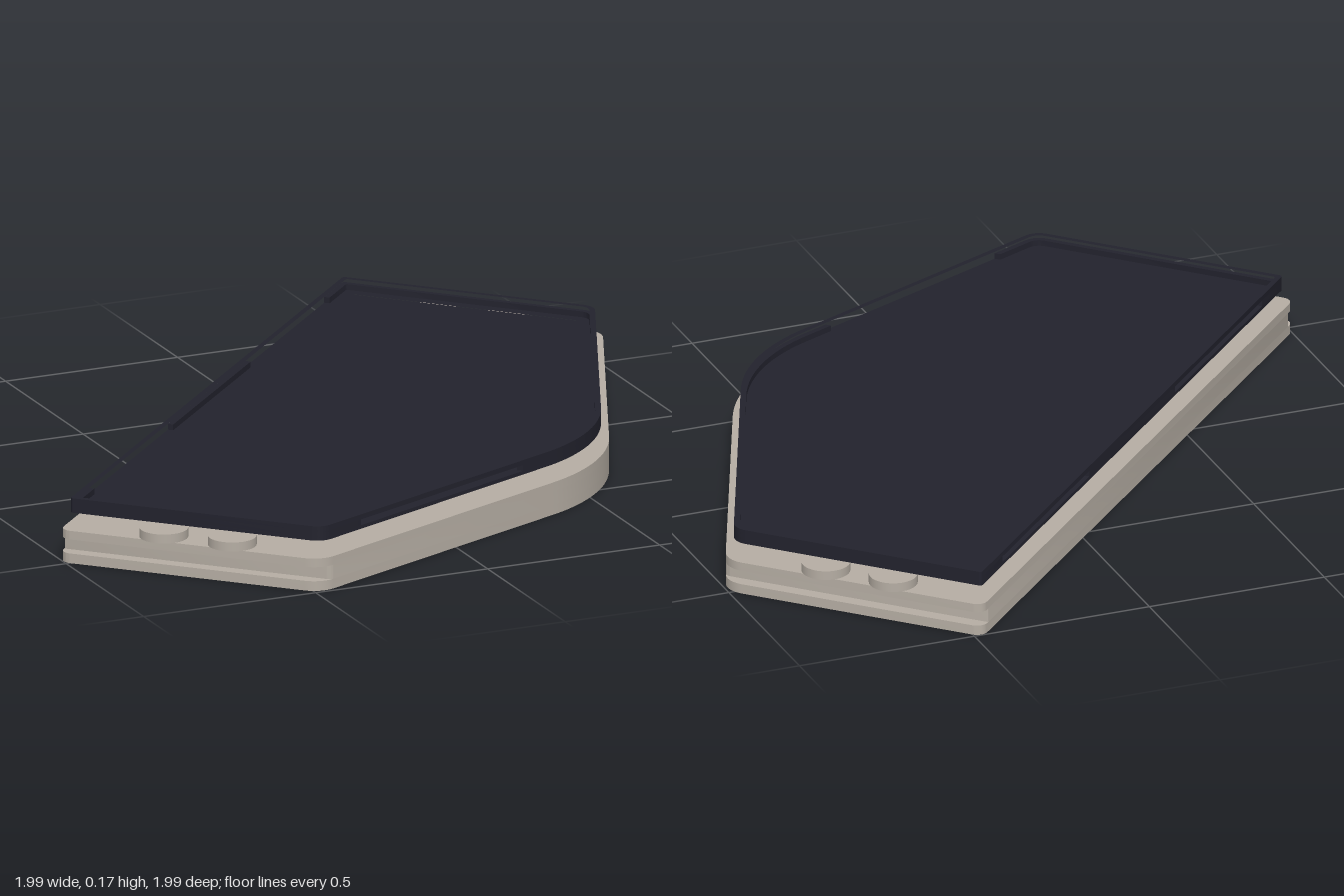
import * as THREE from 'three';
import { toCreasedNormals } from 'three/addons/utils/BufferGeometryUtils.js';

const SLOPE = 0.4; // fall of the two front edges away from the middle

// Replaces each corner [x, y, radius] of a polygon by an arc.
function fillet(corners) {
  const points = [];
  corners.forEach(([x, y, r], i) => {
    const p = new THREE.Vector2(x, y);
    const prev = corners[(i + corners.length - 1) % corners.length];
    const next = corners[(i + 1) % corners.length];
    const a = new THREE.Vector2(prev[0], prev[1]).sub(p).normalize();
    const b = new THREE.Vector2(next[0], next[1]).sub(p).normalize();
    const half = Math.acos(a.dot(b)) / 2;
    const t = r / Math.tan(half);
    const c = a.clone().add(b).normalize().multiplyScalar(r / Math.sin(half)).add(p);
    const from = a.multiplyScalar(t).add(p).sub(c);
    const to = b.multiplyScalar(t).add(p).sub(c);
    const turn = Math.atan2(from.cross(to), from.dot(to));
    const steps = r > 0.2 ? 20 : 8;
    for (let k = 0; k <= steps; k++) {
      points.push(from.clone().rotateAround(new THREE.Vector2(), (turn * k) / steps).add(c));
    }
  });
  return points;
}

// Outline with a straight back, two straight ends and a blunt pointed front.
function outline({ back, end, apex, rBack, rFront, rApex }) {
  const shoulder = apex - SLOPE * end;
  return fillet([
    [end, back, rBack], [end, shoulder, rFront], [0, apex, rApex],
    [-end, shoulder, rFront], [-end, back, rBack],
  ]);
}

// Shrinks an outline evenly on all sides.
function inset(o, d) {
  return {
    back: o.back + d, end: o.end - d, apex: o.apex - d * Math.hypot(1, SLOPE),
    rBack: Math.max(o.rBack - d, 0.005), rFront: Math.max(o.rFront - d, 0.005), rApex: o.rApex - d,
  };
}

const flip = (points) => points.map((p) => new THREE.Vector2(p.x, -p.y));

// Upright slab from y0 to y1.
function slab(name, points, y0, y1, material, hole) {
  const shape = new THREE.Shape(flip(points));
  if (hole) shape.holes.push(new THREE.Path(flip(hole)));
  const extruded = new THREE.ExtrudeGeometry(shape, { depth: y1 - y0, bevelEnabled: false });
  extruded.rotateX(-Math.PI / 2).translate(0, y0, 0);
  const mesh = new THREE.Mesh(toCreasedNormals(extruded, 0.5), material);
  mesh.name = name;
  return mesh;
}

export function createModel() {
  const stone = new THREE.MeshStandardMaterial({ color: 0xb5ada3 });
  stone.name = 'warm grey';
  const dark = new THREE.MeshStandardMaterial({ color: 0x22222d });
  dark.name = 'dark navy';

  const model = new THREE.Group();
  model.name = 'trayOnBase';
  const body = new THREE.Group();
  body.name = 'body';
  body.rotation.y = Math.PI / 4;
  model.add(body);

  // Base: the middle layer is shorter, leaving a groove in both ends
  const baseSize = { back: -0.375, end: 1.053, apex: 0.788, rBack: 0.03, rFront: 0.07, rApex: 0.57 };
  const base = new THREE.Group();
  base.name = 'base';
  const full = outline(baseSize);
  const core = outline({ ...baseSize, end: baseSize.end - 0.035, rBack: 0.005, rFront: 0.02 });
  base.add(
    slab('baseBottom', full, 0, 0.027, stone),
    slab('baseCore', core, 0.027, 0.066, stone),
    slab('baseTop', full, 0.066, 0.09, stone),
  );
  body.add(base);

  // Three clusters of four round pads
  const pads = new THREE.Group();
  pads.name = 'pads';
  const padGeometry = new THREE.CylinderGeometry(0.065, 0.065, 0.025, 32);
  for (const [cx, cz] of [[-0.91, -0.08], [0, 0.455], [0.91, -0.08]]) {
    for (const sx of [-1, 1]) {
      for (const sz of [-1, 1]) {
        const pad = new THREE.Mesh(padGeometry, stone);
        pad.name = 'pad';
        pad.position.set(cx + sx * 0.097, 0.1025, cz + sz * 0.097);
        pads.add(pad);
      }
    }
  }
  // The end clusters sit midway along the ends
  pads.children.forEach((pad, i) => { if (i < 4 || i > 7) pad.position.z += 0.08; });
  body.add(pads);

  // Tray: thin floor, low ledge, and a wall with four slots
  const traySize = { back: -0.357, end: 1.02, apex: 0.765, rBack: 0.008, rFront: 0.05, rApex: 0.56 };
  const innerSize = inset(traySize, 0.015);
  const outer = outline(traySize);
  const inner = outline(innerSize);
  const tray = new THREE.Group();
  tray.name = 'tray';
  tray.add(
    slab('trayFloor', outline(inset(traySize, 0.03)), 0.13, 0.134, dark),
    slab('trayLedge', outer, 0.13, 0.14, dark, outline(inset(traySize, 0.045))),
    slab('wallTop', outer, 0.156, 0.17, dark, inner),
  );

  // Wall pieces standing between the slots
  const s0 = 0.29, s1 = 0.88;
  const backAt = (o, x) => new THREE.Vector2(x, o.back);
  const frontAt = (o, x) => new THREE.Vector2(x, o.apex - SLOPE * Math.abs(x));
  const piece = (name, run) => {
    const points = [...run(traySize, outer), ...run(innerSize, inner).reverse()];
    tray.add(slab(name, points, 0.14, 0.156, dark));
  };
  piece('wallFront', (o, pts) => [
    frontAt(o, s0), ...pts.filter((p) => p.y > 0 && Math.abs(p.x) < s0), frontAt(o, -s0),
  ]);
  piece('wallBack', (o) => [backAt(o, -s0), backAt(o, s0)]);
  piece('wallLeftEnd', (o, pts) => [backAt(o, s1), ...pts.filter((p) => p.x > s1), frontAt(o, s1)]);
  piece('wallRightEnd', (o, pts) => [frontAt(o, -s1), ...pts.filter((p) => p.x < -s1), backAt(o, -s1)]);
  body.add(tray);

  return model;
}
